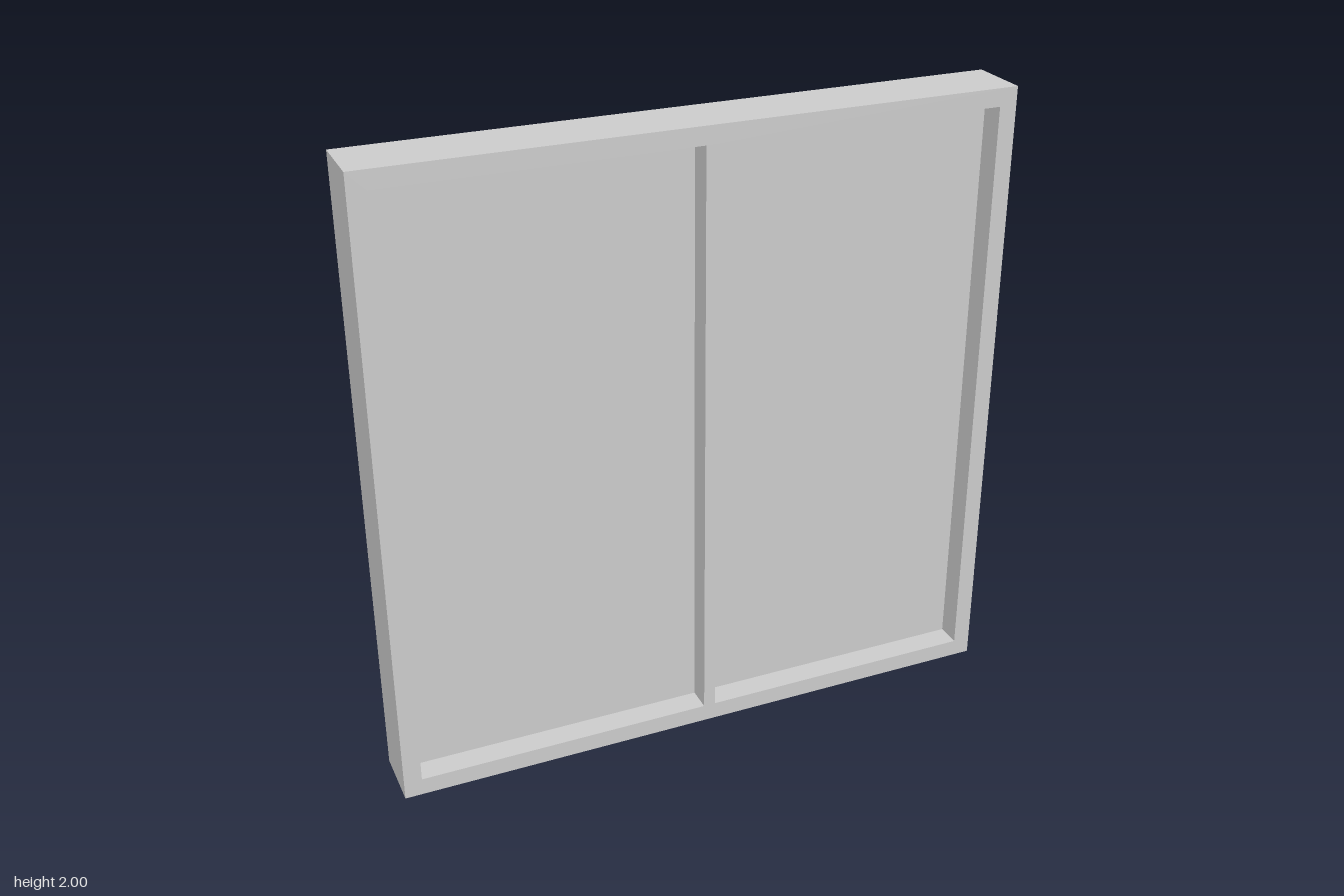
import * as THREE from 'three';

const DEPTH = 0.2, BORDER = 0.056, PANE = 0.04;
const LEFT = -1 + BORDER, RIGHT = 1 - BORDER, BOTTOM = BORDER, TOP = 2 - BORDER;
// The mullion sits just off centre, with one edge on x = 0
const MULLION = [0, 0.038];

function rectangle(PathType, x0, y0, x1, y1) {
  return new PathType([[x0, y0], [x1, y0], [x1, y1], [x0, y1]].map(([x, y]) => new THREE.Vector2(x, y)));
}

export function createModel() {
  const group = new THREE.Group();
  group.name = 'window';
  const material = new THREE.MeshStandardMaterial({ color: 0xcccccc });
  const openings = [[LEFT, MULLION[0]], [MULLION[1], RIGHT]];

  // Outer frame and mullion in one piece, with an opening for each pane
  const outline = rectangle(THREE.Shape, -1, 0, 1, 2);
  for (const [x0, x1] of openings) outline.holes.push(rectangle(THREE.Path, x0, BOTTOM, x1, TOP));
  const frameGeometry = new THREE.ExtrudeGeometry(outline, { depth: DEPTH, bevelEnabled: false });
  frameGeometry.translate(0, 0, -DEPTH / 2);
  const frame = new THREE.Mesh(frameGeometry, material);
  frame.name = 'frame';
  group.add(frame);

  // Panes recessed equally from front and back
  openings.forEach(([x0, x1], i) => {
    const pane = new THREE.Mesh(new THREE.BoxGeometry(x1 - x0, TOP - BOTTOM, PANE), material);
    pane.name = i === 0 ? 'rightPane' : 'leftPane';
    pane.position.set((x0 + x1) / 2, (BOTTOM + TOP) / 2, 0);
    group.add(pane);
  });

  return group;
}
